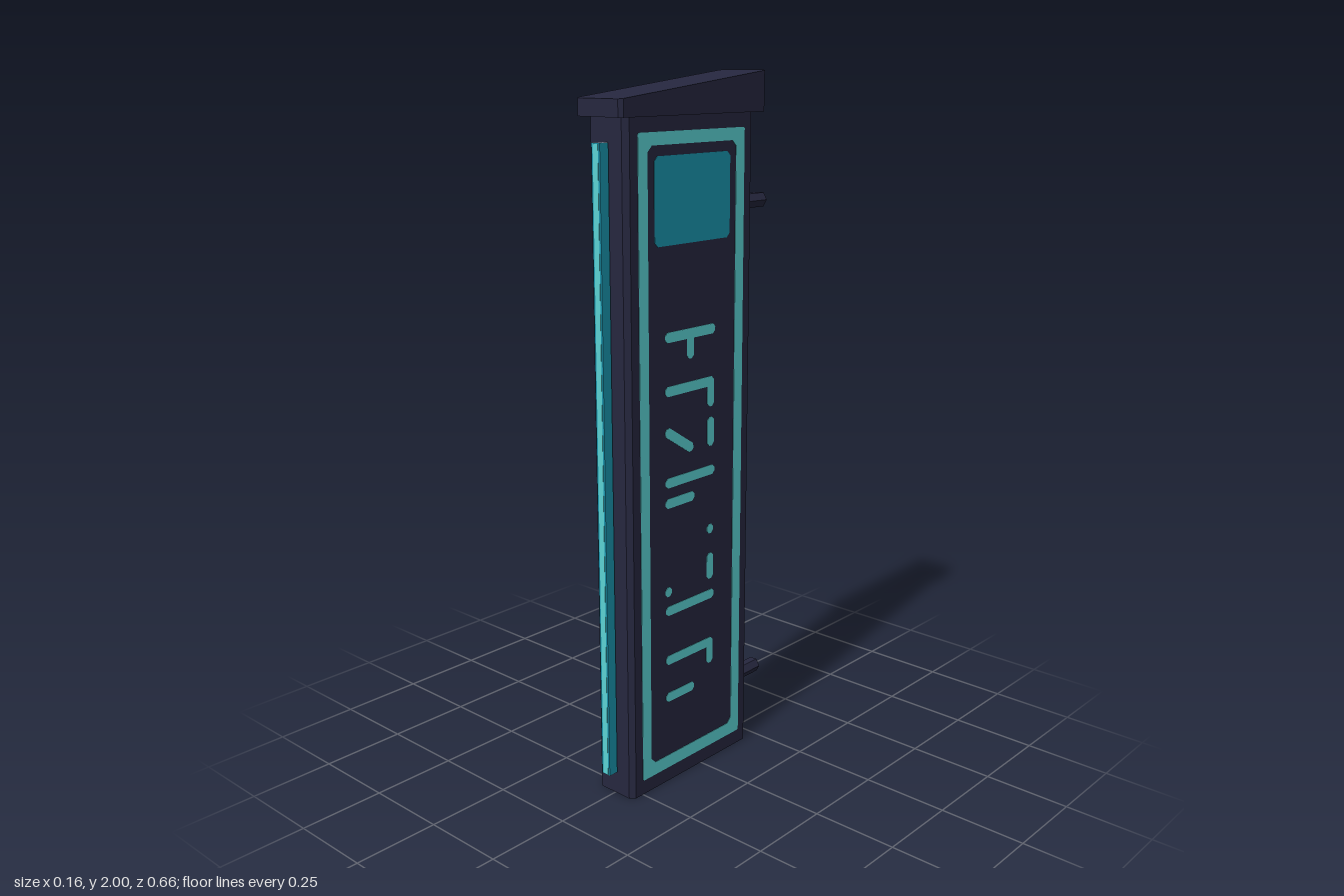
import * as THREE from 'three';

const mat = (name, color) => {
  const m = new THREE.MeshStandardMaterial({ color });
  m.name = name;
  return m;
};

function add(parent, name, geometry, material) {
  const mesh = new THREE.Mesh(geometry, material);
  mesh.name = name;
  parent.add(mesh);
  return mesh;
}

// Rectangle with cut corners, centred on (0, cy)
function cutRect(w, h, c, cy = 0, Type = THREE.Shape) {
  const x = w / 2, y = h / 2;
  return new Type([
    [-x + c, -y], [x - c, -y], [x, -y + c], [x, y - c],
    [x - c, y], [-x + c, y], [-x, y - c], [-x, -y + c],
  ].map(([a, b]) => new THREE.Vector2(a, b + cy)));
}

const extrude = (shape, depth) =>
  new THREE.ExtrudeGeometry(shape, { depth, bevelEnabled: false });

// Upright block with chamfered vertical edges, from y0 to y1
function block(w, d, c, y0, y1, z) {
  return extrude(cutRect(w, d, c), y1 - y0).rotateX(-Math.PI / 2).translate(0, y0, z);
}

// Abstract light dashes as [u0, v0, u1, v1] on the panel
const dashes = [
  [-0.1, 1.313, 0.08, 1.313], [-0.01, 1.3, -0.01, 1.255],
  [-0.1, 1.165, 0.075, 1.165], [0.075, 1.165, 0.075, 1.105],
  [0.075, 1.05, 0.075, 0.99], [-0.1, 1.05, -0.01, 0.992],
  [-0.1, 0.907, 0.08, 0.907], [-0.1, 0.848, -0.005, 0.848],
  [0.075, 0.645, 0.075, 0.59],
  [-0.1, 0.53, 0.08, 0.53],
  [-0.1, 0.38, 0.075, 0.38], [0.075, 0.38, 0.075, 0.325],
  [-0.1, 0.265, -0.005, 0.265],
  [0.073, 0.731, 0.076, 0.731], [-0.102, 0.588, -0.099, 0.588],
];

export function createModel() {
  const model = new THREE.Group();
  model.name = 'hangingSign';
  const dark = mat('darkHousing', 0x26273f);
  const aqua = mat('aquaGlow', 0x5bd3d5);
  const teal = mat('tealGlow', 0x1a94ad);
  const pale = mat('paleCap', 0xb4c4de);

  // Housing and sloping roof cap
  add(model, 'housing', block(0.137, 0.505, 0.014, 0, 1.9, 0.0395), dark);
  const cap = block(0.162, 0.57, 0.01, 1.89, 2, 0.035);
  const p = cap.attributes.position;
  for (let i = 0; i < p.count; i++) {
    if (p.getY(i) > 1.95) p.setY(i, 2 - 0.065 * (p.getZ(i) + 0.25) / 0.57);
  }
  cap.computeVertexNormals();
  add(model, 'roofCap', cap, dark);

  // Six-sided wall pegs at the back
  for (const y of [0.185, 1.64]) {
    const peg = new THREE.CylinderGeometry(0.023, 0.023, 0.13, 6).toNonIndexed();
    peg.computeVertexNormals();
    peg.rotateY(Math.PI / 6).rotateX(Math.PI / 2).translate(0, y, -0.265);
    add(model, 'wallPeg', peg, dark);
  }

  // Light tube along the front edge
  add(model, 'lightTube', new THREE.BoxGeometry(0.03, 1.754, 0.03).translate(0, 0.95, 0.314), teal);
  add(model, 'tubeGlow', new THREE.BoxGeometry(0.018, 1.75, 0.001).translate(0, 0.95, 0.3295), aqua);
  for (const y of [0.0725, 1.8275]) {
    add(model, 'tubeEnd', new THREE.BoxGeometry(0.03, 0.001, 0.03).translate(0, y, 0.314), pale);
  }

  // The same lit face on both sides
  for (const side of [1, -1]) {
    const face = new THREE.Group();
    face.name = side > 0 ? 'leftFace' : 'rightFace';
    face.position.set(side * 0.0685, 0, 0.039);
    face.rotation.y = side * Math.PI / 2;
    model.add(face);

    const frame = cutRect(0.42, 1.808, 0.004, 0.947);
    frame.holes.push(cutRect(0.35, 1.735, 0.016, 0.95, THREE.Path));
    add(face, 'lightFrame', extrude(frame, 0.0012), aqua);
    add(face, 'screen', extrude(cutRect(0.3, 0.232, 0.012, 1.674), 0.0012), teal);

    for (const [u0, v0, u1, v1] of dashes) {
      const length = Math.hypot(u1 - u0, v1 - v0) + 0.024;
      const dash = add(face, 'lightDash', extrude(cutRect(length, 0.028, 0.009), 0.0012), aqua);
      dash.position.set((u0 + u1) / 2, (v0 + v1) / 2, 0);
      dash.rotation.z = Math.atan2(v1 - v0, u1 - u0);
    }
  }
  return model;
}
